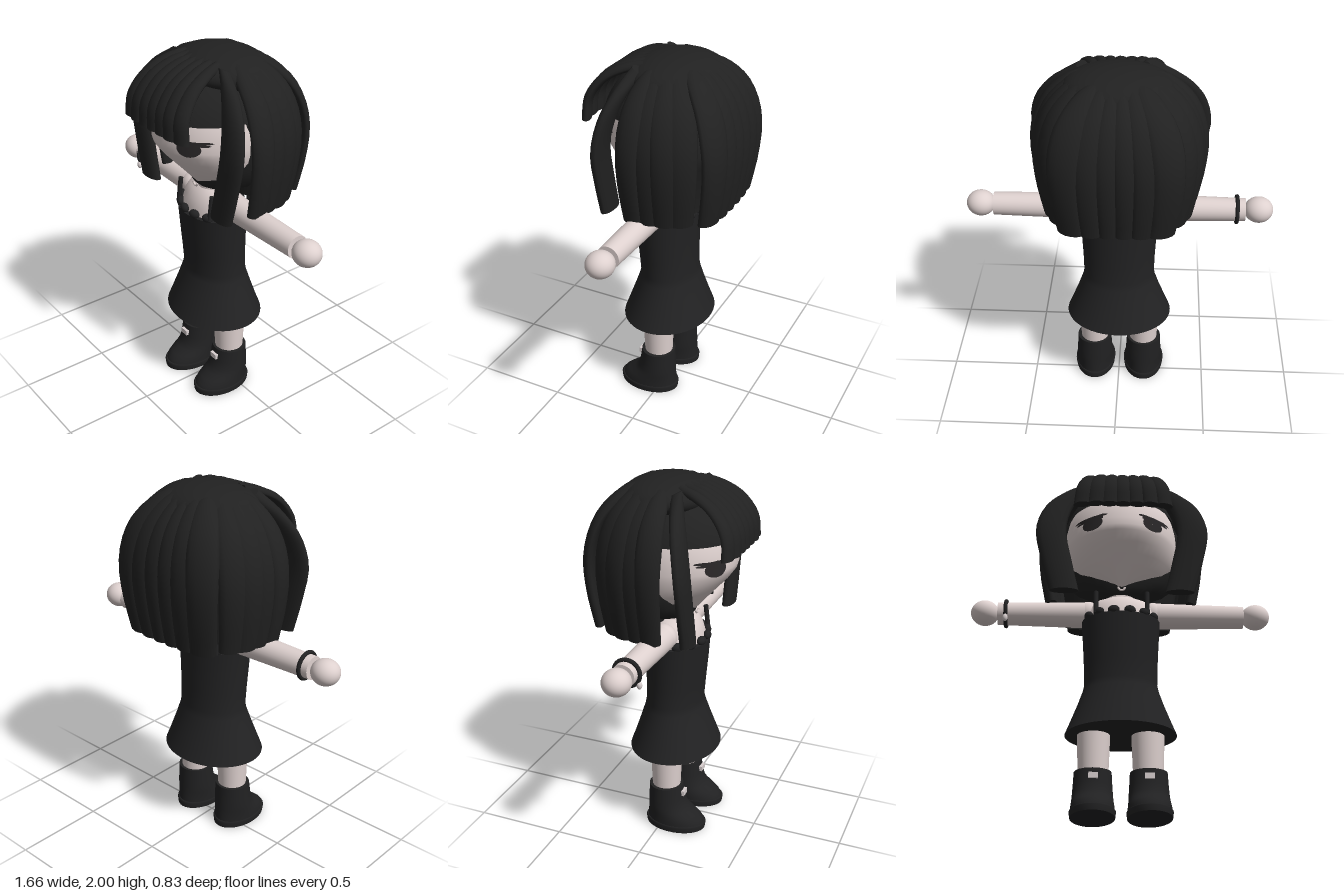
import * as THREE from 'three';

const mat = (name, color) => Object.assign(new THREE.MeshStandardMaterial({ color }), { name });
const V = (x, y, z) => new THREE.Vector3(x, y, z);

// closed solid through a row of rings, with flat sharp-edged ends
function solid(rings) {
  const n = rings[0].length, last = rings[rings.length - 1];
  const hub = (r) => {
    const c = r.reduce((s, p) => s.add(p), V(0, 0, 0)).divideScalar(n);
    return r.map(() => c);
  };
  const all = [hub(rings[0]), rings[0], ...rings, last, hub(last)];
  const pos = [], idx = [];
  all.forEach((r, i) => r.forEach((p, j) => {
    pos.push(p.x, p.y, p.z);
    if (i === all.length - 1) return;
    const a = i * n + j, b = i * n + (j + 1) % n;
    idx.push(a, b, b + n, a, b + n, a + n);
  }));
  const g = new THREE.BufferGeometry();
  g.setAttribute('position', new THREE.Float32BufferAttribute(pos, 3));
  g.setIndex(idx);
  g.computeVertexNormals();
  return g;
}

// oval sections [y, half width, front z, back z], from the bottom up
function loft(sections, n = 40) {
  return solid(sections.map(([y, rx, zf, zb]) => Array.from({ length: n }, (_, j) => {
    const a = (j / n) * Math.PI * 2;
    return V(rx * Math.cos(a), y, (zf + zb) / 2 - ((zf - zb) / 2) * Math.sin(a));
  })));
}

// hair lock swept along a path; d is the direction its broad side faces
function lockGeometry(points, widths, d, outer, inner) {
  const curve = new THREE.CatmullRomCurve3(points), steps = 16, n = 14;
  const w = V(d.z, 0, -d.x).normalize(), rings = [];
  for (let i = 0; i <= steps; i++) {
    const t = i / steps, f = t * (widths.length - 1), k = Math.min(Math.floor(f), widths.length - 2);
    const half = THREE.MathUtils.lerp(widths[k], widths[k + 1], f - k);
    const p = curve.getPoint(t), o = curve.getTangent(t).cross(w).normalize();
    rings.push(Array.from({ length: n }, (_, j) => {
      const a = (j / n) * Math.PI * 2, s = Math.sin(a);
      return p.clone().addScaledVector(w, half * Math.cos(a)).addScaledVector(o, s * (s > 0 ? outer : inner));
    }));
  }
  return solid(rings);
}

export function createModel() {
  const skin = mat('skin', 0xded1cf), hair = mat('hair', 0x212121), cloth = mat('dress cloth', 0x222223);
  const leather = mat('boot leather', 0x212122), eyeInk = mat('eye', 0x2b2829), metal = mat('buckle metal', 0xd9d0d0);
  eyeInk.side = THREE.DoubleSide;
  const root = new THREE.Group();
  root.name = 'doll';
  const add = (name, geo, material, x = 0, y = 0, z = 0, parent = root) => {
    const m = new THREE.Mesh(geo, material);
    m.name = name;
    m.position.set(x, y, z);
    parent.add(m);
    return m;
  };
  const ball = (name, material, x, y, z, rx, ry, rz, parent) => {
    const m = add(name, new THREE.SphereGeometry(1, 36, 24), material, x, y, z, parent);
    m.scale.set(rx, ry, rz);
    return m;
  };

  // head with a tapering chin, neck and upper body
  const headSections = [[1.285, 0.07, 0.125], [1.31, 0.125, 0.148], [1.34, 0.185, 0.174], [1.38, 0.24, 0.21], [1.43, 0.284, 0.256],
    [1.48, 0.306, 0.302], [1.53, 0.316, 0.338], [1.56, 0.318, 0.347], [1.6, 0.318, 0.347], [1.65, 0.315, 0.341], [1.72, 0.3, 0.325],
    [1.8, 0.26, 0.285], [1.87, 0.19, 0.21], [1.92, 0.08, 0.09]];
  add('head', loft(headSections.map(([y, rx, rz]) => [y, rx, rz, -rz]), 48), skin);
  add('neck', new THREE.CylinderGeometry(0.085, 0.09, 0.09, 28), skin, 0, 1.225, 0.015);
  add('upperBody', loft([[1.02, 0.2, 0.175, -0.135], [1.12, 0.195, 0.17, -0.13], [1.18, 0.185, 0.15, -0.115],
    [1.22, 0.16, 0.125, -0.095], [1.24, 0.11, 0.1, -0.07]]), skin);
  const charm = add('neckCharm', new THREE.TorusGeometry(0.018, 0.006, 8, 20, Math.PI), skin, 0, 1.28, 0.135);
  charm.rotation.z = Math.PI;

  // eyes and lashes, laid onto the curve of the face
  const onFace = (g, cx, cy, side, lift) => {
    const p = g.attributes.position;
    for (let i = 0; i < p.count; i++) {
      const x = cx + p.getX(i);
      p.setXYZ(i, side * x, cy + p.getY(i), 0.347 * Math.sqrt(1 - (x / 0.318) ** 2) + lift);
    }
    g.computeVertexNormals();
    return g;
  };
  for (const s of [1, -1]) {
    const label = s > 0 ? 'left' : 'right';
    add(label + 'Eye', onFace(new THREE.RingGeometry(0.001, 0.05, 28, 4).scale(1.08, 0.88, 1), 0.165, 1.583, s, 0.004), eyeInk);
    add(label + 'UpperLash', onFace(new THREE.PlaneGeometry(0.12, 0.024, 10, 2), 0.168, 1.614, s, 0.005), eyeInk);
    for (const [i, [x, y]] of [[0.225, 1.607], [0.232, 1.621], [0.112, 1.622]].entries()) {
      add(label + 'LashTip' + i, onFace(new THREE.CircleGeometry(0.028, 8).scale(1, 0.25, 1), x, y, s, 0.006), eyeInk);
    }
  }

  // hair: scalp, inner volume and crown
  const hairGroup = new THREE.Group();
  hairGroup.name = 'hair';
  root.add(hairGroup);
  add('scalp', loft([[1.25, 0.1, 0.1, -0.12], [1.265, 0.17, 0.118, -0.19], [1.3, 0.235, 0.132, -0.23], [1.35, 0.285, 0.146, -0.26],
    [1.43, 0.325, 0.158, -0.28], [1.55, 0.345, 0.165, -0.3], [1.7, 0.345, 0.165, -0.3], [1.82, 0.29, 0.16, -0.27],
    [1.9, 0.2, 0.14, -0.2]]), hair, 0, 0, 0, hairGroup);
  const forehead = add('foreheadHair', new THREE.SphereGeometry(1, 36, 14, 0, Math.PI * 2, 0, 1.32), hair, 0, 1.62, 0, hairGroup);
  forehead.scale.set(0.325, 0.335, 0.365);
  add('innerHair', loft([[1.235, 0.3, 0, -0.27], [1.4, 0.33, 0.04, -0.29], [1.52, 0.365, 0.07, -0.35], [1.6, 0.38, 0.08, -0.37],
    [1.72, 0.36, 0.09, -0.35], [1.82, 0.31, 0.1, -0.3], [1.9, 0.24, 0.11, -0.22], [1.94, 0.18, 0.11, -0.16]]), hair, 0, 0, 0, hairGroup);
  ball('crown', hair, 0, 1.9, -0.025, 0.285, 0.1, 0.235, hairGroup);

  // long locks round the sides and back: [x, z, half width, share of x in the facing direction]
  const fall = [[0.3, 1.945], [0.5, 1.93], [0.68, 1.88], [0.84, 1.805], [0.95, 1.7], [1, 1.57], [0.97, 1.4], [0.89, 1.22]];
  const longLocks = [[0.43, 0.035, 0.065, 1], [0.41, -0.055, 0.07, 1], [0.395, -0.15, 0.075, 1], [0.355, -0.23, 0.075, 1],
    [0.262, -0.36, 0.085, 0.5], [0.15, -0.375, 0.072, 0.5], [0.048, -0.38, 0.062, 0.5]];
  // front panels beside the face, and the fringe
  const panel = [[0.19, 1.955, 0.09], [0.285, 1.87, 0.13], [0.36, 1.76, 0.17], [0.395, 1.6, 0.2], [0.36, 1.4, 0.205], [0.315, 1.215, 0.205]];
  for (const s of [1, -1]) {
    for (const [x, z, w, turn] of longLocks) {
      const pts = fall.map(([f, y]) => V(s * x * f, y, z * f));
      add('longLock', lockGeometry(pts, [w * 0.5, w * 0.7, w * 0.9, w, w * 1.05, w, w * 0.95, w * 0.85],
        V(s * x * turn, 0, z), 0.035, 0.028), hair, 0, 0, 0, hairGroup);
    }
    add('facePanel', lockGeometry(panel.map(([x, y, z]) => V(s * x, y, z)), [0.03, 0.065, 0.08, 0.085, 0.084, 0.08],
      V(0, 0, 1), 0.035, 0.03), hair, 0, 0, 0, hairGroup);
  }
  const fringe = [[0.58, 1.955, 0.1], [0.7, 1.935, 0.19], [0.83, 1.875, 0.3], [0.94, 1.77, 0.375], [1, 1.655, 0.387]];
  for (let i = -3; i <= 3; i++) {
    const back = Math.abs(i) === 3 ? 0.012 : 0;
    add('fringeLock', lockGeometry(fringe.map(([f, y, z]) => V(i * 0.075 * f, y, z - back)), [0.026, 0.034, 0.042, 0.047, 0.047],
      V(i * 0.08, 0, 1), 0.027, 0.02), hair, 0, 0, 0, hairGroup);
  }

  // dress with beaded neckline
  add('dress', loft([[0.455, 0.296, 0.264, -0.234], [0.52, 0.27, 0.24, -0.21], [0.62, 0.232, 0.203, -0.177], [0.7, 0.205, 0.175, -0.152],
    [0.74, 0.197, 0.166, -0.144], [0.85, 0.2, 0.175, -0.142], [0.98, 0.207, 0.187, -0.143], [1.105, 0.216, 0.196, -0.146]], 48), cloth);
  for (let i = 0; i < 14; i++) {
    const a = (i + 0.5) / 14 * Math.PI * 2;
    const bead = ball('necklineBead', cloth, 0.198 * Math.sin(a), 1.12, 0.022 + 0.16 * Math.cos(a), 0.032, 0.025, 0.022);
    bead.rotation.y = a;
  }

  // straps and limbs, built once per side
  for (const s of [1, -1]) {
    const label = s > 0 ? 'left' : 'right';
    for (const [end, z, lean] of [['Front', 0.14, -0.12], ['Back', -0.115, 0.1]]) {
      const strap = add(label + end + 'Strap', new THREE.CylinderGeometry(0.013, 0.013, 0.14, 12), cloth, s * 0.14, 1.18, z);
      strap.rotation.x = lean;
    }

    const arm = add(label + 'Arm', new THREE.CylinderGeometry(0.062, 0.073, 0.51, 32), skin, s * 0.425, 1.165, 0.012);
    arm.rotation.z = -s * Math.PI / 2;
    ball(label + 'Shoulder', skin, s * 0.18, 1.165, 0.012, 0.075, 0.075, 0.075);
    ball(label + 'Hand', skin, s * 0.752, 1.167, 0.013, 0.078, 0.07, 0.075);

    add(label + 'Leg', new THREE.CylinderGeometry(0.093, 0.078, 0.38, 32), skin, s * 0.143, 0.4, 0.015);
    add(label + 'Boot', loft([[0.03, 0.113, 0.238, -0.092], [0.055, 0.112, 0.23, -0.09], [0.08, 0.109, 0.2, -0.088], [0.105, 0.107, 0.16, -0.086],
      [0.135, 0.105, 0.134, -0.085], [0.18, 0.102, 0.122, -0.083], [0.255, 0.098, 0.11, -0.08]]), leather, s * 0.145);
    add(label + 'BootSole', loft([[0, 0.115, 0.246, -0.1], [0.03, 0.119, 0.25, -0.103], [0.037, 0.114, 0.243, -0.097]]), leather, s * 0.145);
    add(label + 'Buckle', new THREE.BoxGeometry(0.05, 0.03, 0.024), metal, s * 0.143, 0.21, 0.118);
  }

  // bracelet on the right wrist
  const band = add('bracelet', new THREE.TorusGeometry(0.07, 0.011, 12, 36), leather, -0.635, 1.165, 0.014);
  band.rotation.y = Math.PI / 2;
  ball('braceletCharm', metal, -0.635, 1.11, 0.08, 0.014, 0.022, 0.014);
  return root;
}
